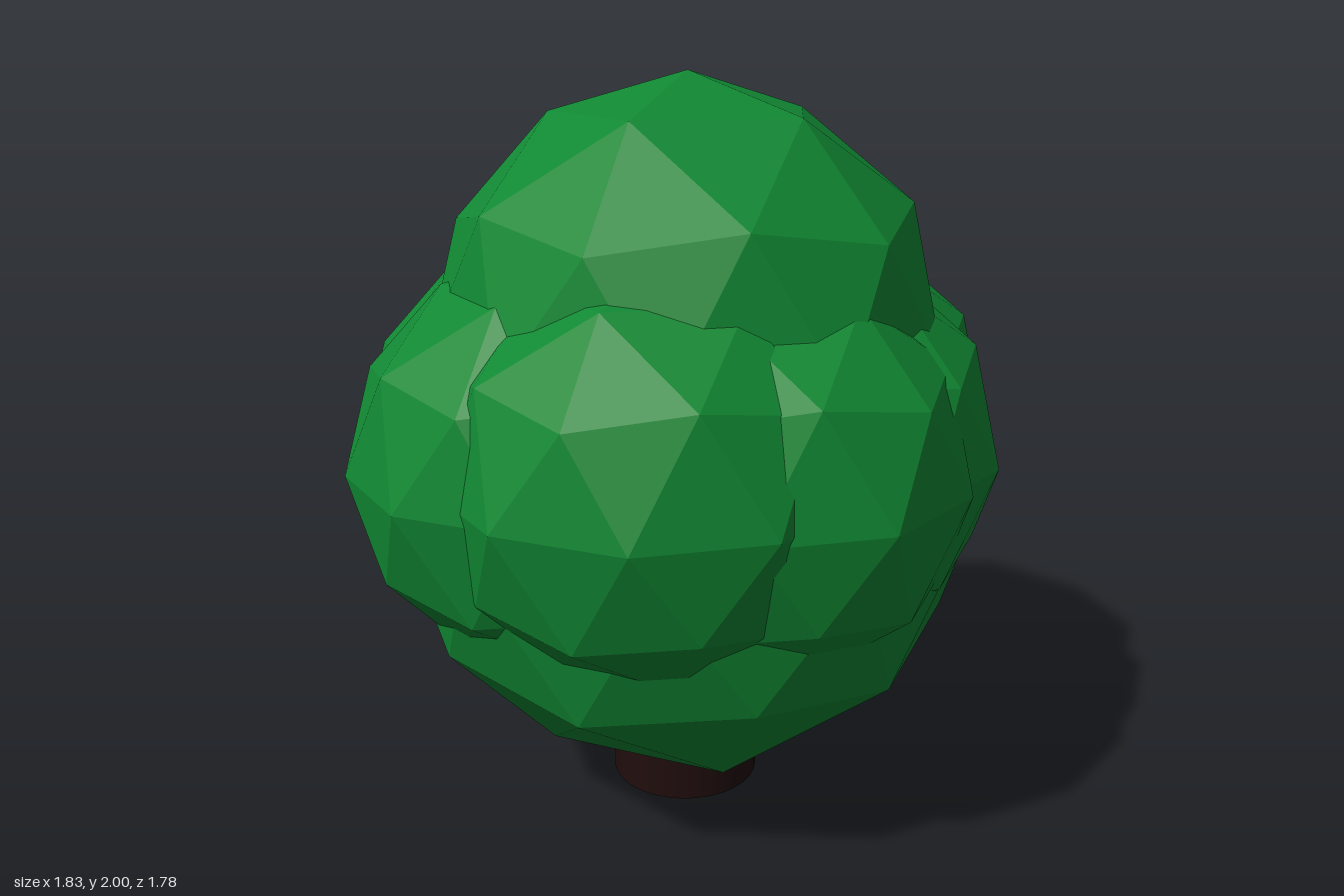
import * as THREE from 'three';

const leafMaterial = new THREE.MeshStandardMaterial({ color: 0x118833, flatShading: true });
const barkMaterial = new THREE.MeshStandardMaterial({ color: 0x200d0d });

// Faceted ball with one vertex straight up and its upper ring pointing to +x
function leafBall(name, radius, x, y, z) {
  const geometry = new THREE.IcosahedronGeometry(radius, 1);
  geometry.rotateZ(-Math.atan(2 / (1 + Math.sqrt(5))));
  const mesh = new THREE.Mesh(geometry, leafMaterial);
  mesh.name = name;
  mesh.position.set(x, y, z);
  return mesh;
}

export function createModel() {
  const tree = new THREE.Group();
  tree.name = 'tree';

  // Short round trunk, running up into the foliage
  const trunk = new THREE.Mesh(new THREE.CylinderGeometry(0.21, 0.21, 0.5, 32), barkMaterial);
  trunk.name = 'trunk';
  trunk.position.set(-0.015, 0.25, 0);
  tree.add(trunk);

  // Large lower and upper foliage balls
  const foliage = new THREE.Group();
  foliage.name = 'foliage';
  foliage.add(leafBall('lowerFoliage', 0.81, -0.014, 0.9, 0));
  foliage.add(leafBall('upperFoliage', 0.694, -0.005, 1.306, 0));

  // Ring of smaller balls around the middle
  const lobes = [
    ['leftLobe', 0.39, 1.03, -0.03],
    ['rightLobe', -0.39, 1.01, -0.03],
    ['frontLobe', 0, 1.02, 0.34],
    ['backLobe', 0, 1.02, -0.34],
    ['frontRightLobe', -0.277, 1.04, 0.275],
    ['frontLeftLobe', 0.197, 1.02, 0.225],
    ['backRightLobe', -0.277, 1.02, -0.235],
    ['backLeftLobe', 0.197, 1.02, -0.235],
  ];
  for (const [name, x, y, z] of lobes) foliage.add(leafBall(name, 0.55, x, y, z));

  tree.add(foliage);
  return tree;
}
